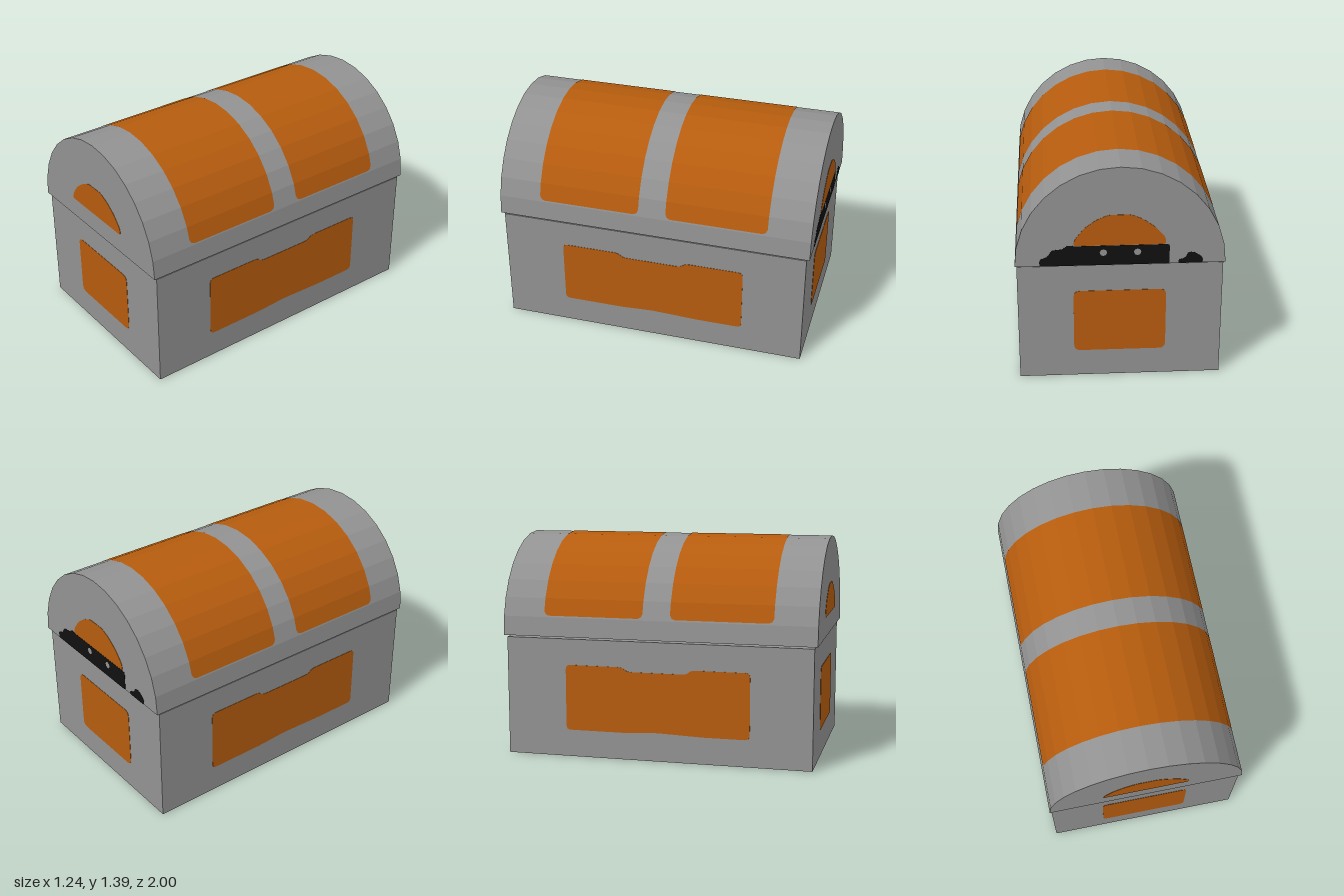
import * as THREE from 'three';

const grey = new THREE.MeshStandardMaterial({ color: 0x929292 });
grey.name = 'grey';
const orange = new THREE.MeshStandardMaterial({ color: 0xb65c0e });
orange.name = 'orange';
const black = new THREE.MeshStandardMaterial({ color: 0x101010 });
black.name = 'black';

const R = 0.62, LID_Y = 0.767, LID_HALF = 0.998, THIN = 0.002;

// Closed outline whose corners are softened by up to r
function softShape(points, r) {
  const p = points.map(([x, y]) => new THREE.Vector2(x, y));
  const shape = new THREE.Shape();
  p.forEach((c, i) => {
    const a = p[(i + p.length - 1) % p.length], b = p[(i + 1) % p.length];
    const from = c.clone().lerp(a, Math.min(0.5, r / c.distanceTo(a)));
    const to = c.clone().lerp(b, Math.min(0.5, r / c.distanceTo(b)));
    if (i === 0) shape.moveTo(from.x, from.y);
    else shape.lineTo(from.x, from.y);
    shape.quadraticCurveTo(c.x, c.y, to.x, to.y);
  });
  shape.closePath();
  return shape;
}

// Thin painted plate, extruded outward along local +z
function plate(name, shape, material) {
  const geo = new THREE.ExtrudeGeometry(shape, { depth: THIN, bevelEnabled: false, curveSegments: 4 });
  const mesh = new THREE.Mesh(geo, material);
  mesh.name = name;
  return mesh;
}

// Orange band following the facets of the lid, with slightly clipped corners
function lidBand(z0, z1) {
  const radius = R + THIN, step = Math.PI / 16, pos = [], index = [];
  const edge = (y) => { // point on the lowest whole facet at height y above the hinge line
    const a = [radius * Math.cos(step), radius * Math.sin(step)];
    const b = [radius * Math.cos(2 * step), radius * Math.sin(2 * step)];
    const t = (y - a[1]) / (b[1] - a[1]);
    return [a[0] + t * (b[0] - a[0]), y];
  };
  const low = [[...edge(0.131), 0.03], [...edge(0.14), 0.01], [...edge(0.16), 0]];
  const sections = [...low];
  for (let i = 2; i <= 14; i++) sections.push([radius * Math.cos(i * step), radius * Math.sin(i * step), 0]);
  for (const [x, y, inset] of [...low].reverse()) sections.push([-x, y, inset]);
  sections.forEach(([x, y, inset], i) => {
    pos.push(x, LID_Y + y, z0 + inset, x, LID_Y + y, z1 - inset);
    if (i) {
      const k = 2 * i;
      index.push(k - 2, k, k - 1, k, k + 1, k - 1);
    }
  });
  const geo = new THREE.BufferGeometry();
  geo.setAttribute('position', new THREE.Float32BufferAttribute(pos, 3));
  geo.setIndex(index);
  const flat = geo.toNonIndexed();
  flat.computeVertexNormals();
  const mesh = new THREE.Mesh(flat, orange);
  mesh.name = 'lidBand';
  return mesh;
}

export function createModel() {
  const chest = new THREE.Group();
  chest.name = 'chest';

  // Box body
  const body = new THREE.Mesh(new THREE.BoxGeometry(1.22, 0.755, 1.956), grey);
  body.name = 'body';
  body.position.y = 0.755 / 2;
  chest.add(body);

  // Half-round lid with sixteen facets
  const arch = new THREE.Shape();
  for (let i = 0; i <= 16; i++) {
    const a = (i * Math.PI) / 16;
    const x = R * Math.cos(a), y = LID_Y + R * Math.sin(a);
    if (i) arch.lineTo(x, y);
    else arch.moveTo(x, y);
  }
  arch.closePath();
  const lidGeo = new THREE.ExtrudeGeometry(arch, { depth: LID_HALF * 2, bevelEnabled: false });
  lidGeo.translate(0, 0, -LID_HALF);
  const lid = new THREE.Mesh(lidGeo, grey);
  lid.name = 'lid';
  chest.add(lid, lidBand(0.085, 0.73), lidBand(-0.73, -0.09));

  // Dark lining under the lid
  const lining = new THREE.Mesh(new THREE.BoxGeometry(1.1, 0.005, 1.74), black);
  lining.name = 'lidLining';
  lining.position.y = LID_Y - 0.0025;
  chest.add(lining);

  // End panels, front and back
  const endPanel = softShape([[-0.278, 0.175], [0.275, 0.175], [0.275, 0.585], [-0.278, 0.585]], 0.04);
  const archPanel = softShape([[-0.28, 0.895], [0.268, 0.895], [0.262, 0.94], [0.2, 1.01], [0.13, 1.06],
    [0.06, 1.09], [-0.07, 1.09], [-0.14, 1.06], [-0.21, 1.01], [-0.265, 0.94]], 0.02);
  for (const [side, turn] of [['front', 0], ['back', Math.PI]]) {
    const end = new THREE.Group();
    end.name = side + 'Panels';
    end.rotation.y = turn;
    const lower = plate(side + 'BodyPanel', endPanel, orange);
    lower.position.z = 0.978;
    const upper = plate(side + 'LidPanel', archPanel, orange);
    upper.position.z = LID_HALF;
    end.add(lower, upper);

    // Ragged dark patch along the lower edge of the back of the lid
    if (side === 'back') {
      const big = softShape([[-0.475, LID_Y], [-0.475, 0.81], [-0.43, 0.825], [-0.4, 0.87], [-0.34, 0.875],
        [-0.31, 0.9], [-0.27, 0.893], [0.288, 0.893], [0.288, LID_Y]], 0.015);
      for (const x of [-0.1, 0.1]) {
        big.holes.push(new THREE.Path().absarc(x, 0.848, 0.022, 0, Math.PI * 2, true));
      }
      const small = softShape([[0.34, LID_Y], [0.34, 0.79], [0.38, 0.8], [0.4, 0.84], [0.44, 0.835],
        [0.485, 0.8], [0.485, LID_Y]], 0.015);
      for (const [name, shape] of [['backDarkPatch', big], ['backSmallDarkPatch', small]]) {
        const patch = plate(name, shape, black);
        patch.position.z = LID_HALF - 0.0005;
        end.add(patch);
      }
    }
    chest.add(end);
  }

  // Long side panels with a shallow waist
  const longPanel = softShape([[-0.59, 0.172], [-0.2, 0.172], [0, 0.183], [0.3, 0.172], [0.59, 0.172],
    [0.59, 0.59], [0.22, 0.59], [0.19, 0.562], [-0.19, 0.562], [-0.22, 0.59], [-0.59, 0.59]], 0.03);
  for (const s of [1, -1]) {
    const side = plate(s > 0 ? 'leftBodyPanel' : 'rightBodyPanel', longPanel, orange);
    side.rotation.y = (s * Math.PI) / 2;
    side.position.x = s * 0.61;
    chest.add(side);
  }

  // Panel under the body
  const floorPanel = softShape([[-0.28, -0.59], [0.28, -0.59], [0.28, 0.59], [-0.28, 0.59]], 0.03);
  const under = plate('undersidePanel', floorPanel, orange);
  under.rotation.x = Math.PI / 2;
  chest.add(under);

  // Rest the underside panel on the ground
  chest.children.forEach((part) => { part.position.y += THIN; });
  return chest;
}
